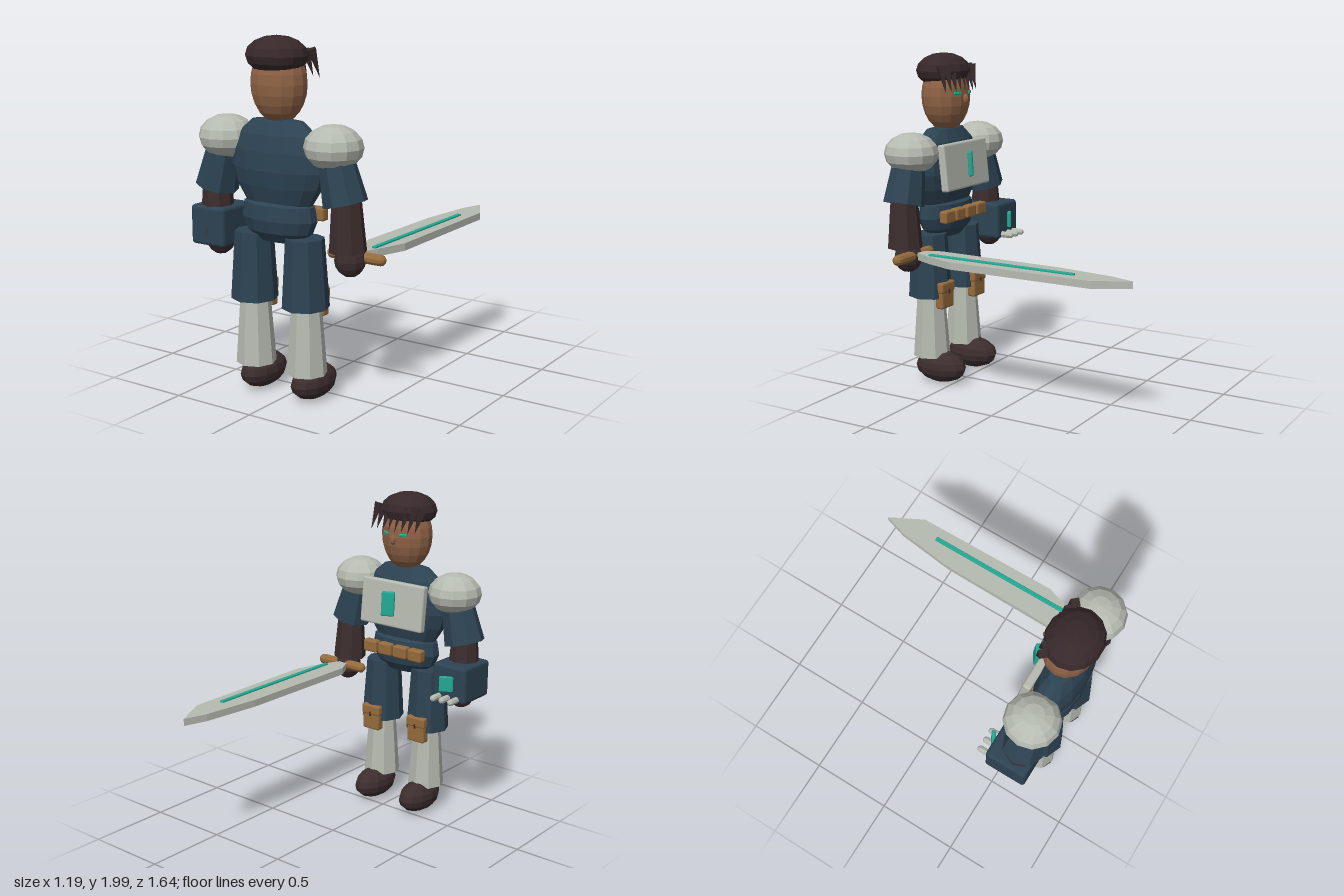
import * as THREE from 'three';
import { RoundedBoxGeometry } from 'three/addons/geometries/RoundedBoxGeometry.js';

export function createModel() {
  const root = new THREE.Group();
  root.name = 'knight';
  const mat = (name, color) => {
    const m = new THREE.MeshStandardMaterial({ color, flatShading: true });
    m.name = name;
    return m;
  };
  const navy = mat('navyCloth', 0x2d4353);
  const steel = mat('paleSteel', 0xb6bbb1);
  const skin = mat('skin', 0x8e6245);
  const dark = mat('darkLeather', 0x3c2d2e);
  const hairMat = mat('hair', 0x37282a);
  const tan = mat('tanLeather', 0x966b3c);
  const teal = mat('tealGlow', 0x22a893);

  const CX = -0.04; // body centre line
  const add = (name, geo, m, x, y, z, rx = 0, ry = 0, rz = 0) => {
    const mesh = new THREE.Mesh(geo, m);
    mesh.name = name;
    mesh.position.set(x, y, z);
    mesh.rotation.set(rx, ry, rz);
    root.add(mesh);
    return mesh;
  };
  const ball = (rx, ry, rz, w = 12, h = 8) => new THREE.SphereGeometry(1, w, h).scale(rx, ry, rz);
  const box = (w, h, d, r = 0.012) => new RoundedBoxGeometry(w, h, d, 2, r);
  // tapered limb running between two points
  const limb = (name, m, a, b, rTop, rBottom, sides = 8) => {
    const A = new THREE.Vector3(...a), B = new THREE.Vector3(...b);
    const mesh = add(name, new THREE.CylinderGeometry(rTop, rBottom, A.distanceTo(B), sides), m,
      ...A.clone().add(B).multiplyScalar(0.5).toArray());
    mesh.quaternion.setFromUnitVectors(new THREE.Vector3(0, 1, 0), A.sub(B).normalize());
    return mesh;
  };

  // torso and hips: closed profiles flattened front to back
  const barrel = (points, depth) => new THREE.LatheGeometry(
    points.map(([r, y]) => new THREE.Vector2(r, y)), 14).scale(1, 1, depth);
  add('torso', barrel([[0, 1.08], [0.21, 1.1], [0.275, 1.2], [0.305, 1.29], [0.295, 1.39],
    [0.25, 1.48], [0.165, 1.55], [0, 1.57]], 0.42), navy, CX, 0, 0.66);
  add('hips', barrel([[0, 0.88], [0.13, 0.895], [0.21, 0.95], [0.24, 1.02], [0.225, 1.1],
    [0.14, 1.13], [0, 1.14]], 0.5), navy, CX, 0, 0.66);

  // head, face on the -z side
  add('head', ball(0.16, 0.215, 0.14, 14, 12), skin, CX, 1.745, 0.65);
  add('nose', ball(0.017, 0.03, 0.022, 8, 6), skin, CX, 1.73, 0.512);
  add('hairCap', ball(0.177, 0.105, 0.156, 14, 8), hairMat, CX, 1.895, 0.665);
  for (const s of [-1, 1])
    add('eye', box(0.05, 0.016, 0.012, 0.004), teal, CX + s * 0.062, 1.765, 0.523, 0, -s * 0.35, s * 0.12);
  // fringe of tapering locks
  for (let i = 0; i < 8; i++) {
    const t = i / 7 * 2 - 1;
    const lock = new THREE.ConeGeometry(0.032, 0.15 + 0.015 * (i % 2), 4).rotateX(Math.PI);
    add('fringeLock', lock, hairMat, CX + 0.16 * t + 0.008, 1.85, 0.535 + 0.015 * t * t, 0.3, 0, 0.12);
  }

  for (const s of [-1, 1]) {
    const side = s > 0 ? 'left' : 'right';
    const X = d => CX + s * d;
    // arms
    add(side + 'ShoulderPad', ball(0.16, 0.122, 0.16, 12, 8), steel, X(0.355), 1.435, 0.655);
    limb(side + 'UpperArm', navy, [X(0.36), 1.43, 0.66], [X(0.432), 1.145, 0.66], 0.09, 0.122);
    limb(side + 'Forearm', dark, [X(0.435), 1.17, 0.655], [X(0.44), 0.89, 0.65], 0.08, 0.102);
    add(side + 'Hand', ball(0.086, 0.092, 0.082, 10, 8), dark, X(0.44), 0.84, 0.63);
    // legs
    limb(side + 'Thigh', navy, [X(0.172), 0.93, 0.665], [X(0.175), 0.545, 0.665], 0.107, 0.132);
    limb(side + 'Shin', steel, [X(0.175), 0.57, 0.66], [X(0.175), 0.17, 0.66], 0.083, 0.113);
    add(side + 'Boot', ball(0.1, 0.097, 0.172, 12, 8), dark, X(0.175), 0.105, 0.595);
    // thigh pouch with flap and clasp
    add(side + 'ThighPouch', box(0.125, 0.15, 0.055), tan, X(0.175), 0.555, 0.56);
    add(side + 'ThighPouchFlap', box(0.135, 0.065, 0.045), tan, X(0.175), 0.61, 0.55);
    add(side + 'ThighPouchClasp', new THREE.BoxGeometry(0.01, 0.028, 0.008), dark, X(0.175), 0.585, 0.527);
  }

  // chest plate with crystal
  add('chestPlate', box(0.46, 0.28, 0.05), steel, CX, 1.335, 0.525, 0.1);
  add('chestCrystal', box(0.08, 0.15, 0.028, 0.008), teal, CX + 0.005, 1.345, 0.475, 0.06, 0.55);

  // belt pouches
  for (let i = 0; i < 4; i++)
    add('beltPouch', box(0.1, 0.075, 0.055), tan, CX + (i - 1.5) * 0.113, 1.04, 0.535);

  // gauntlet box with knuckles and crystal
  add('gauntlet', box(0.235, 0.225, 0.26, 0.02), navy, -0.48, 0.928, 0.62);
  for (const d of [-0.062, 0, 0.062])
    add('gauntletKnuckle', new THREE.CapsuleGeometry(0.02, 0.06, 3, 8), steel, -0.478 + d, 0.84, 0.46, Math.PI / 2);
  add('gauntletCrystal', box(0.085, 0.095, 0.025, 0.008), teal, -0.475, 0.93, 0.475, 0, 0.55);

  // sword: cross-grip, flat blade and glowing inlay
  add('swordGrip', new THREE.CapsuleGeometry(0.032, 0.3, 3, 10), tan, 0.41, 0.852, 0.585, 0, 0, Math.PI / 2);
  const outline = [[0.4, -0.82], [0.507, -0.617], [0.517, 0.27], [0.46, 0.45], [0.41, 0.56],
    [0.35, 0.55], [0.305, 0.46], [0.315, -0.33], [0.357, -0.68]];
  const shape = new THREE.Shape(outline.map(([x, z]) => new THREE.Vector2(x, -z)));
  const blade = new THREE.ExtrudeGeometry(shape, { depth: 0.042, bevelEnabled: false }).rotateX(-Math.PI / 2);
  add('swordBlade', blade, steel, 0, 0.829, 0);
  add('swordInlay', box(0.026, 0.016, 0.945, 0.004), teal, 0.434, 0.873, -0.017);
  return root;
}
